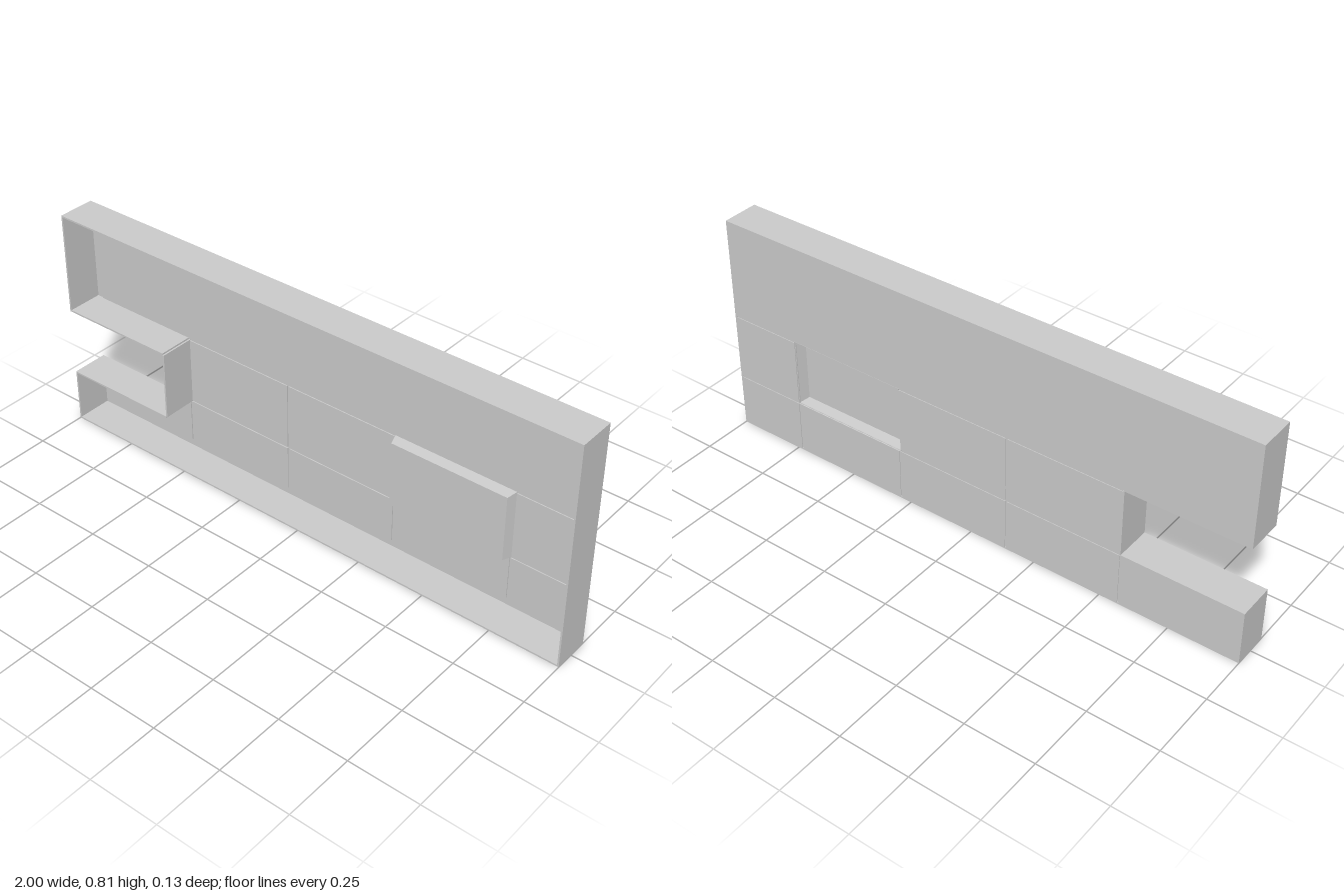
import * as THREE from 'three';

const BACK = -0.067, FRONT = 0.067, TOP = 0.81;
const ROW_LOW = 0.197, ROW_HIGH = 0.443; // horizontal seams
const COLS = [-1, -0.57, -0.14, 0.29, 0.73, 1]; // vertical seams
const WALL = 0.006, GAP = 0.003, LIP = 0.032;

export function createModel() {
  const group = new THREE.Group();
  const mat = new THREE.MeshStandardMaterial({ color: 0xcccccc });
  const twoSided = new THREE.MeshStandardMaterial({ color: 0xcccccc, side: THREE.DoubleSide });

  const box = (name, x0, x1, y0, y1, z0, z1) => {
    const mesh = new THREE.Mesh(new THREE.BoxGeometry(x1 - x0, y1 - y0, z1 - z0), mat);
    mesh.position.set((x0 + x1) / 2, (y0 + y1) / 2, (z0 + z1) / 2);
    mesh.name = name;
    group.add(mesh);
  };

  // Thin rim following the outline, with the notch in the side
  const outline = [[-1, 0], [1, 0], [1, TOP], [-1, TOP], [-1, ROW_HIGH], [COLS[1], ROW_HIGH], [COLS[1], ROW_LOW], [-1, ROW_LOW]];
  outline.forEach(([ax, ay], i) => {
    const [bx, by] = outline[(i + 1) % outline.length];
    // The outline runs counter-clockwise, so the inside lies to the left
    const nx = -Math.sign(by - ay) * WALL, ny = Math.sign(bx - ax) * WALL;
    box('rimWall',
      Math.min(ax, bx, ax + nx), Math.max(ax, bx, ax + nx),
      Math.min(ay, by, ay + ny), Math.max(ay, by, ay + ny), BACK, FRONT);
  });

  // Backing sheet behind the seams, with an opening for the recess
  const sheet = new THREE.Shape(outline.map(([x, y]) => new THREE.Vector2(x * 0.999, THREE.MathUtils.clamp(y, 0.001, TOP - 0.001))));
  const opening = [[COLS[3], ROW_LOW], [COLS[3], ROW_HIGH], [COLS[4], ROW_HIGH], [COLS[4], ROW_LOW]];
  sheet.holes.push(new THREE.Path(opening.map(([x, y]) => new THREE.Vector2(x, y))));
  const backing = new THREE.Mesh(new THREE.ExtrudeGeometry(sheet, { depth: 0.003, bevelEnabled: false }), mat);
  backing.position.z = -0.0645;
  backing.name = 'backingSheet';
  group.add(backing);

  // Panels: full size behind, set in from the rim on the front
  const panel = (name, x0, x1, y0, y1) => {
    const edge = (v, limit, d) => (v === limit ? v : v + d);
    const a = edge(x0, -1, GAP), b = edge(x1, 1, -GAP);
    const c = edge(y0, 0, GAP), d = edge(y1, TOP, -GAP);
    box(name + 'Back', a, b, c, d, BACK, -0.062);
    box(name + 'Front', Math.max(a, -1 + LIP), Math.min(b, 1 - LIP - 0.015),
      Math.max(c, LIP), Math.min(d, TOP - LIP - 0.005), -0.062, -0.058);
  };
  panel('upperBand', -1, 1, ROW_HIGH, TOP);
  for (let i = 0; i < 5; i++) {
    panel('lowerPanel', COLS[i], COLS[i + 1], 0, ROW_LOW);
    if (i !== 0 && i !== 3) panel('middlePanel', COLS[i], COLS[i + 1], ROW_LOW, ROW_HIGH);
  }

  // Recess pushed in from the back: a tapered box without its back face
  const w = COLS[4] - COLS[3] + 0.008, h = ROW_HIGH - ROW_LOW + 0.004, depth = 0.042;
  const geo = new THREE.BoxGeometry(w, h, depth);
  geo.setIndex(Array.from(geo.index.array).slice(0, 30));
  const pos = geo.attributes.position;
  for (let i = 0; i < pos.count; i++) {
    if (pos.getZ(i) > 0) {
      pos.setX(i, pos.getX(i) * (1 - 0.024 / w));
      pos.setY(i, pos.getY(i) * (1 - 0.014 / h));
    }
  }
  geo.computeVertexNormals();
  const recess = new THREE.Mesh(geo, twoSided);
  recess.position.set((COLS[3] + COLS[4]) / 2, (ROW_LOW + ROW_HIGH) / 2, BACK + depth / 2);
  recess.name = 'recessBlock';
  group.add(recess);

  return group;
}
